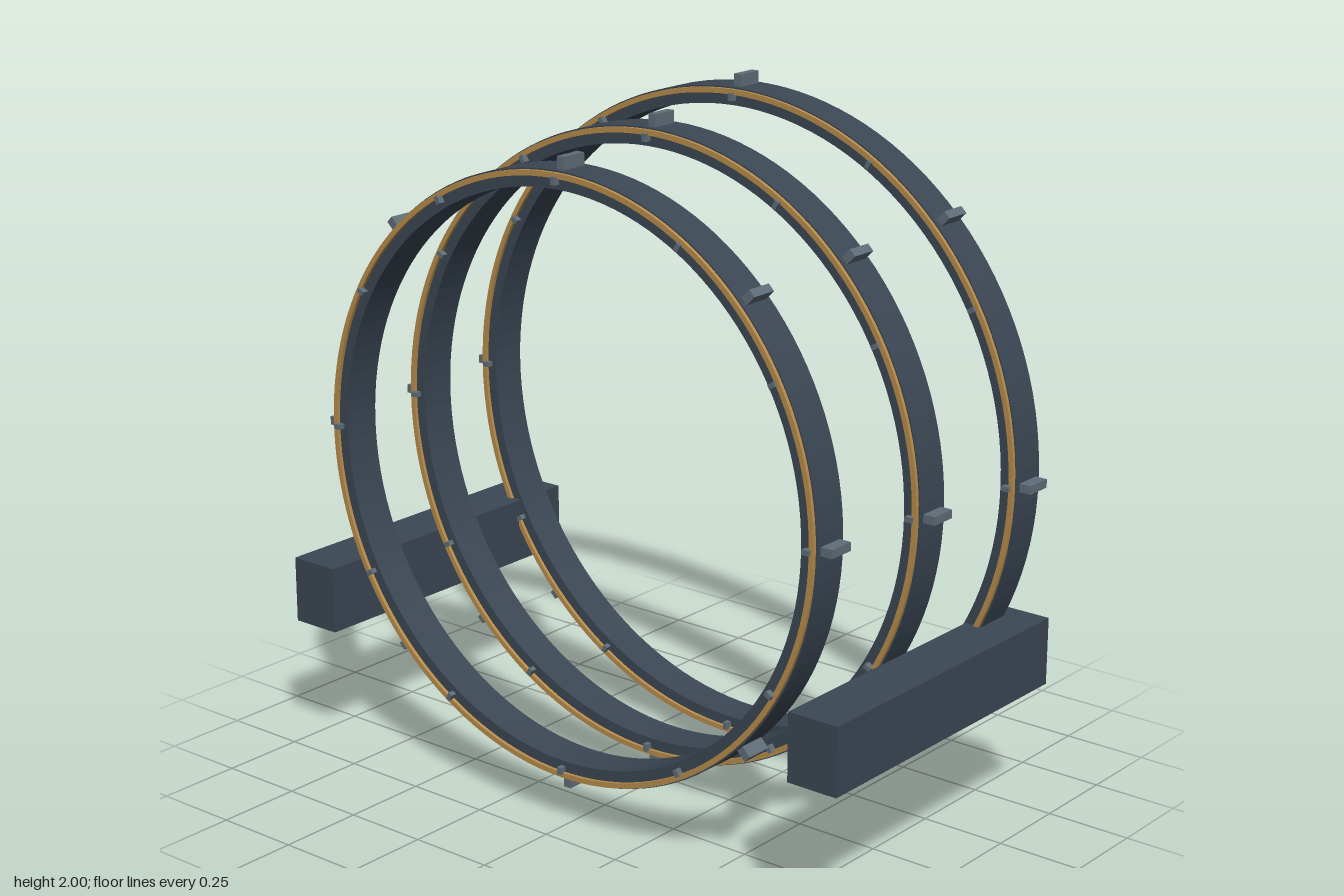
import * as THREE from 'three';

const mat = (name, color) => {
  const m = new THREE.MeshStandardMaterial({ color });
  m.name = name;
  return m;
};

// Flat band with square edges, centred on z = 0
function band(inner, outer, depth) {
  const shape = new THREE.Shape().absarc(0, 0, outer, 0, Math.PI * 2, false);
  shape.holes.push(new THREE.Path().absarc(0, 0, inner, 0, Math.PI * 2, true));
  return new THREE.ExtrudeGeometry(shape, { depth, bevelEnabled: false, curveSegments: 64 })
    .translate(0, 0, -depth / 2);
}

export function createModel() {
  const slate = mat('dark slate', 0x3b4754);
  const steel = mat('steel grey', 0x5f6d78);
  const gold = mat('brass', 0xb98d4c);
  const model = new THREE.Group();
  model.name = 'ringGate';

  const add = (parent, name, geometry, material, x = 0, y = 0, z = 0) => {
    const mesh = new THREE.Mesh(geometry, material);
    mesh.name = name;
    mesh.position.set(x, y, z);
    parent.add(mesh);
    return mesh;
  };

  const clip = new THREE.BoxGeometry(0.07, 0.024, 0.08);
  const stud = new THREE.BoxGeometry(0.022, 0.014, 0.02);

  // Three rings growing toward the back
  [['frontRing', 0.83, 0.37], ['middleRing', 0.885, 0], ['backRing', 0.94, -0.37]].forEach(([name, r, z]) => {
    const ring = new THREE.Group();
    ring.name = name;
    ring.position.set(0, 1, z);
    model.add(ring);
    add(ring, 'hoop', band(r - 0.025, r + 0.025, 0.11), slate);
    add(ring, 'brassTrim', band(r + 0.006, r + 0.021, 0.012), gold, 0, 0, 0.059);

    // Clips on the outer rim
    for (let i = 0; i < 8; i++) {
      const a = i * Math.PI / 4;
      add(ring, 'clip', clip, steel, Math.cos(a) * (r + 0.025), Math.sin(a) * (r + 0.025)).rotation.z = a;
    }
    // Studs on the front face
    for (let i = 0; i < 12; i++) {
      const a = i * Math.PI / 6;
      add(ring, 'stud', stud, steel, Math.cos(a) * r, Math.sin(a) * r, 0.064).rotation.z = a;
    }
  });

  // Side beams tying the rings together
  for (const [name, s] of [['leftBeam', 1], ['rightBeam', -1]]) {
    add(model, name, new THREE.BoxGeometry(0.155, 0.195, 0.98), slate, s * 0.898, 0.487, 0);
  }
  return model;
}
